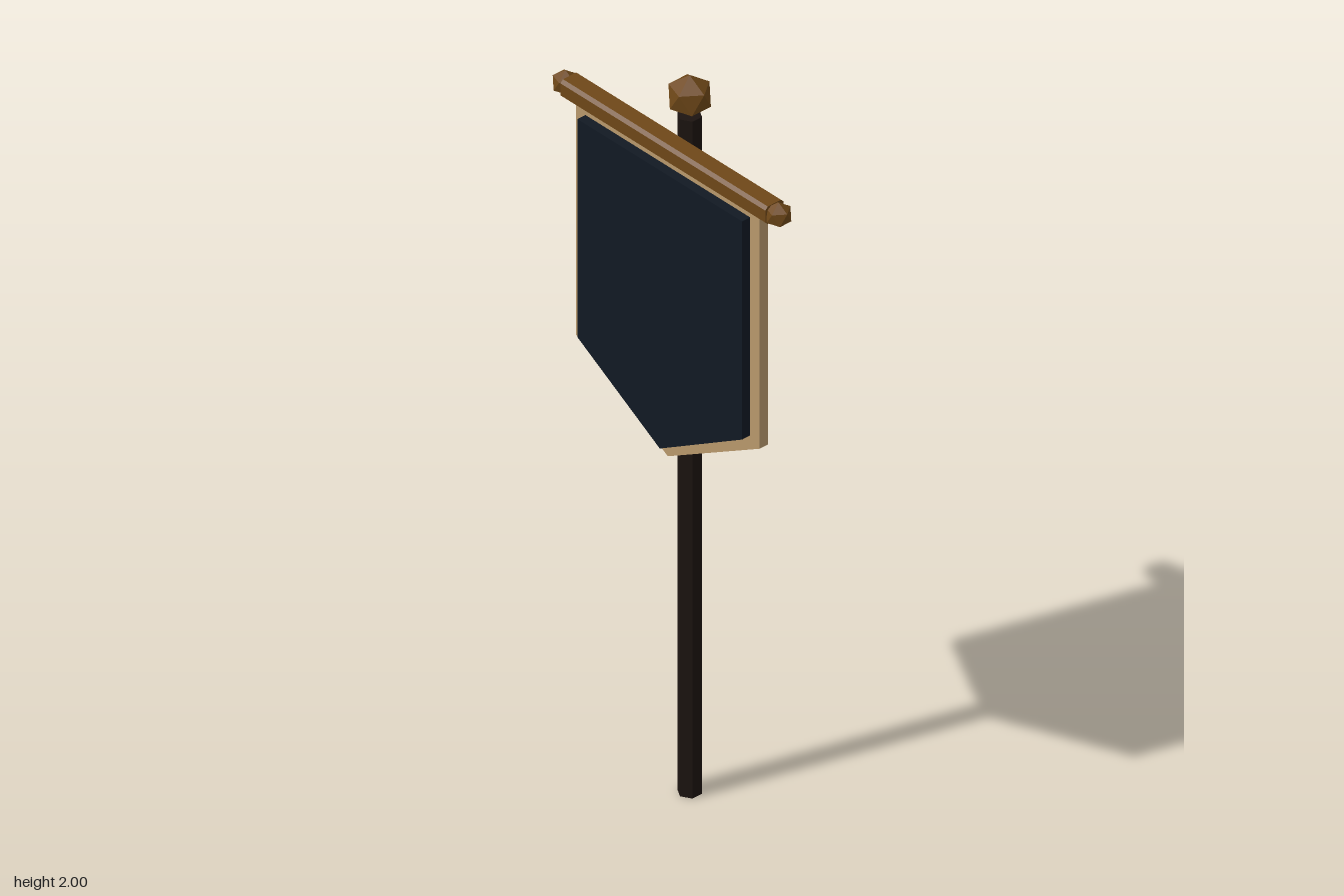
import * as THREE from 'three';

const material = (color) => new THREE.MeshStandardMaterial({ color, flatShading: true, roughness: 0.9 });

// Icosahedron standing on one of its corners
function finialGeometry(radius) {
  const golden = (1 + Math.sqrt(5)) / 2;
  return new THREE.IcosahedronGeometry(radius, 0).rotateZ(-Math.atan(1 / golden));
}

// Flat cloth with a pointed lower edge, extruded towards +z
function pennantGeometry(halfWidth, top, corner, tip, depth) {
  const shape = new THREE.Shape([
    new THREE.Vector2(-halfWidth, top),
    new THREE.Vector2(-halfWidth, corner),
    new THREE.Vector2(0, tip),
    new THREE.Vector2(halfWidth, corner),
    new THREE.Vector2(halfWidth, top),
  ]);
  return new THREE.ExtrudeGeometry(shape, { depth, bevelEnabled: false });
}

// Bar along x with chamfered long edges
function barGeometry(length, halfZ, halfY, chamfer) {
  const z = halfZ - chamfer, y = halfY - chamfer;
  const shape = new THREE.Shape([
    [halfZ, -y], [halfZ, y], [z, halfY], [-z, halfY],
    [-halfZ, y], [-halfZ, -y], [-z, -halfY], [z, -halfY],
  ].map(([a, b]) => new THREE.Vector2(a, b)));
  return new THREE.ExtrudeGeometry(shape, { depth: length, bevelEnabled: false })
    .translate(0, 0, -length / 2)
    .rotateY(Math.PI / 2);
}

export function createModel() {
  const model = new THREE.Group();
  model.name = 'banner';
  const darkWood = material(0x1c1410);
  const wood = material(0x6e4718);
  const tan = material(0xb8986c);
  const navy = material(0x111923);

  const add = (name, geometry, mat, x, y, z) => {
    const mesh = new THREE.Mesh(geometry, mat);
    mesh.name = name;
    mesh.position.set(x, y, z);
    model.add(mesh);
  };

  // Six-sided pole and its finial
  const poleZ = -0.023, poleHeight = 1.89;
  add('pole', new THREE.CylinderGeometry(0.03, 0.03, poleHeight, 6), darkWood, 0, poleHeight / 2, poleZ);
  add('poleFinial', finialGeometry(0.056), wood, 0, 1.944, poleZ);

  // Crossbar with a knob on each end
  const barY = 1.821, barZ = 0.032;
  add('crossbar', barGeometry(0.704, 0.0285, 0.0247, 0.008), wood, 0, barY, barZ);
  for (const side of [-1, 1]) {
    add(side > 0 ? 'leftKnob' : 'rightKnob', finialGeometry(0.0337), wood, side * 0.366, barY, barZ);
  }

  // Cloth backing, visible as a border, and the raised front panel
  add('clothBacking', pennantGeometry(0.315, 1.82, 1.147, 0.967, 0.027), tan, 0, 0, 0.018);
  add('clothPanel', pennantGeometry(0.283, 1.777, 1.168, 1.0, 0.025), navy, 0, 0, 0.045);

  return model;
}
